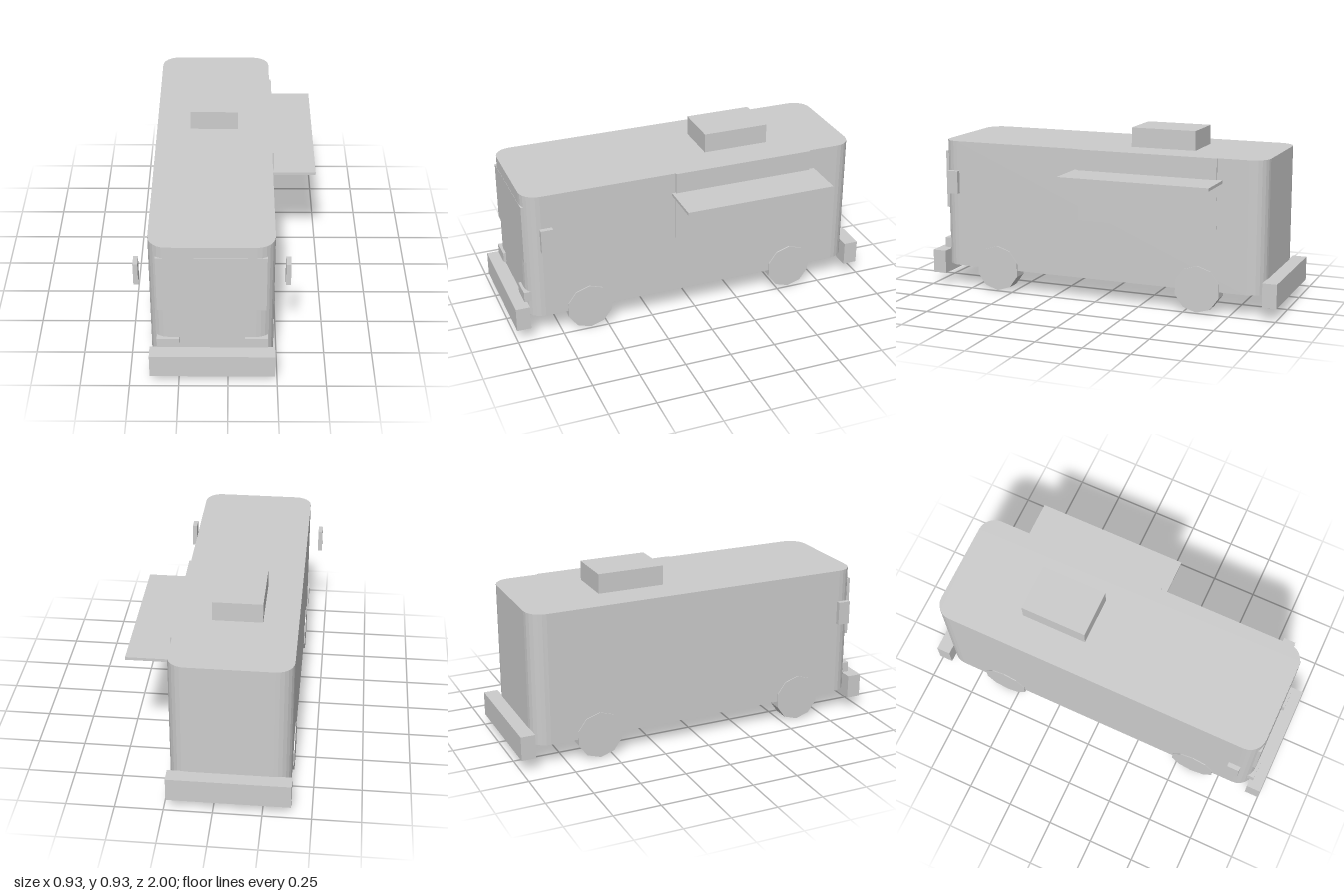
import * as THREE from 'three';

export function createModel() {
  const group = new THREE.Group();
  const grey = new THREE.MeshStandardMaterial({ color: 0xcccccc, flatShading: true, side: THREE.DoubleSide });
  grey.name = 'light grey';

  function add(name, geometry) {
    const mesh = new THREE.Mesh(geometry, grey);
    mesh.name = name;
    group.add(mesh);
    return mesh;
  }

  // Box from its minimum and maximum on each axis; the underside can be left open
  function box(name, [x0, x1], [y0, y1], [z0, z1], openBelow = false) {
    const geometry = new THREE.BoxGeometry(x1 - x0, y1 - y0, z1 - z0);
    if (openBelow) {
      const index = Array.from(geometry.index.array);
      index.splice(18, 6);
      geometry.setIndex(index);
      geometry.clearGroups();
    }
    geometry.translate((x0 + x1) / 2, (y0 + y1) / 2, (z0 + z1) / 2);
    return add(name, geometry);
  }

  // Van body: rounded plan extruded upwards
  const left = 0.23, right = -0.388, end = 0.927, r = 0.09;
  const plan = new THREE.Shape();
  plan.absarc(left - r, end - r, r, 0, Math.PI / 2);
  plan.absarc(right + r, end - r, r, Math.PI / 2, Math.PI);
  plan.absarc(right + r, r - end, r, Math.PI, Math.PI * 1.5);
  plan.absarc(left - r, r - end, r, Math.PI * 1.5, Math.PI * 2);
  const body = new THREE.ExtrudeGeometry(plan, { depth: 0.705, bevelEnabled: false, curveSegments: 3 });
  body.rotateX(-Math.PI / 2).translate(0, 0.115, 0);
  add('body', body);

  // Roof vent
  box('roofVent', [-0.207, 0.05], [0.81, 0.925], [-0.492, -0.132]);

  // Windscreen, standing proud only where the body corners curve away
  box('windscreen', [-0.35, 0.19], [0.435, 0.755], [0.87, 0.928]);

  // Serving hatch: raised panel, flush window and awning
  box('hatchPanel', [0.22, 0.24], [0.70, 0.82], [-0.67, 0.105]);
  box('servingWindow', [0.223, 0.231], [0.435, 0.70], [-0.67, 0.105]);
  box('awning', [0.23, 0.463], [0.692, 0.708], [-0.70, 0.125], true);

  // Bumpers
  box('frontBumper', [-0.395, 0.237], [0.06, 0.19], [0.923, 1], true);
  box('rearBumper', [-0.395, 0.237], [0.06, 0.19], [-1, -0.923], true);

  // Headlights and wing mirrors
  box('rightHeadlight', [-0.356, -0.241], [0.204, 0.259], [0.90, 0.942]);
  box('leftHeadlight', [0.085, 0.20], [0.204, 0.259], [0.90, 0.942]);
  box('rightMirror', [-0.465, -0.441], [0.54, 0.666], [0.795, 0.86]);
  box('leftMirror', [0.284, 0.309], [0.54, 0.666], [0.795, 0.86]);

  // Ten-sided wheels resting on a flat side
  const wheel = new THREE.CylinderGeometry(0.126, 0.126, 0.082, 10);
  wheel.rotateY(Math.PI / 10).rotateZ(Math.PI / 2);
  for (const [side, x] of [['left', 0.196], ['right', -0.352]]) {
    for (const [place, z] of [['Front', 0.595], ['Rear', -0.57]]) {
      add(side + place + 'Wheel', wheel).position.set(x, 0.12, z);
    }
  }

  return group;
}
